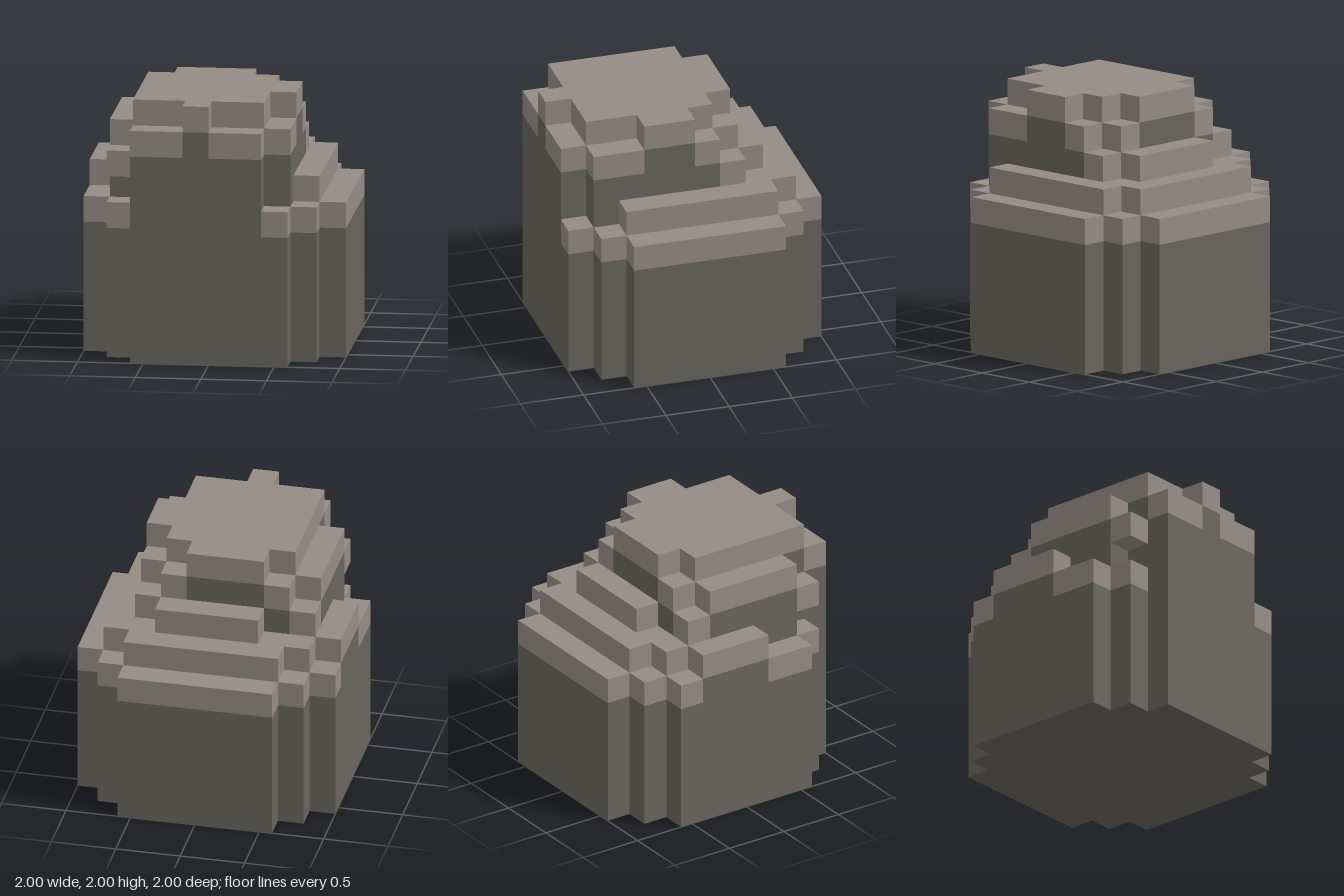
import * as THREE from 'three';

const CELL = 0.2;
const N = 10;

// Column heights in cells (a = 10), rows run back to front, characters run from -x to +x
const HEIGHTS = [
  '..666666..',
  '.67777776.',
  '6778888776',
  '789aaa9876',
  '79aaaaa976',
  '79aaaaaa76',
  '69aaaaaa76',
  '69aaaaa976',
  '.6aaaaa96.',
  '..99a996..',
];
const heightAt = (x, z) => parseInt(HEIGHTS[z]?.[x] ?? '.', 16) || 0;

// One cell juts out over a gap near the front
const isLedge = (x, y, z) => x === 1 && y === 7 && z === 8;
const isSolid = (x, y, z) => (y >= 0 && y < heightAt(x, z)) || isLedge(x, y, z);

// Unit square turned to each of the six directions
const SIDES = [[1, 0, 0], [-1, 0, 0], [0, 1, 0], [0, -1, 0], [0, 0, 1], [0, 0, -1]].map((dir) => {
  const normal = new THREE.Vector3(...dir);
  const turn = new THREE.Quaternion().setFromUnitVectors(new THREE.Vector3(0, 0, 1), normal);
  const corners = [[-0.5, -0.5], [0.5, -0.5], [0.5, 0.5], [-0.5, 0.5]].map(([u, v]) =>
    new THREE.Vector3(u, v, 0.5).applyQuaternion(turn));
  return { dir, corners };
});

// Outer faces of every cell accepted by the test
function buildCells(accept) {
  const positions = [], normals = [], index = [];
  for (let z = 0; z < N; z++) for (let y = 0; y < N; y++) for (let x = 0; x < N; x++) {
    if (!isSolid(x, y, z) || !accept(x, y, z)) continue;
    for (const { dir, corners } of SIDES) {
      if (isSolid(x + dir[0], y + dir[1], z + dir[2])) continue;
      const first = positions.length / 3;
      for (const c of corners) {
        positions.push((x + 0.5 + c.x - N / 2) * CELL, (y + 0.5 + c.y) * CELL, (z + 0.5 + c.z - N / 2) * CELL);
        normals.push(...dir);
      }
      index.push(first, first + 1, first + 2, first, first + 2, first + 3);
    }
  }
  const geometry = new THREE.BufferGeometry();
  geometry.setAttribute('position', new THREE.Float32BufferAttribute(positions, 3));
  geometry.setAttribute('normal', new THREE.Float32BufferAttribute(normals, 3));
  geometry.setIndex(index);
  return geometry;
}

export function createModel() {
  const group = new THREE.Group();
  group.name = 'blockyBoulder';

  const darkStone = new THREE.MeshStandardMaterial({ color: 0x68655d });
  darkStone.name = 'darkStone';
  const paleStone = new THREE.MeshStandardMaterial({ color: 0x958c84 });
  paleStone.name = 'paleStone';

  const add = (name, material, accept) => {
    const mesh = new THREE.Mesh(buildCells(accept), material);
    mesh.name = name;
    group.add(mesh);
  };

  // Cells open to the sky or to the gap are pale, all others are dark
  const isCap = (x, y, z) => !isSolid(x, y + 1, z);
  add('boulderBase', darkStone, (x, y, z) => y < 5 && !isCap(x, y, z));
  add('boulderCore', darkStone, (x, y, z) => y >= 5 && !isCap(x, y, z));
  add('lowerCaps', paleStone, (x, y, z) => y < 7 && isCap(x, y, z));
  add('upperCaps', paleStone, (x, y, z) => y >= 7 && isCap(x, y, z));

  return group;
}
